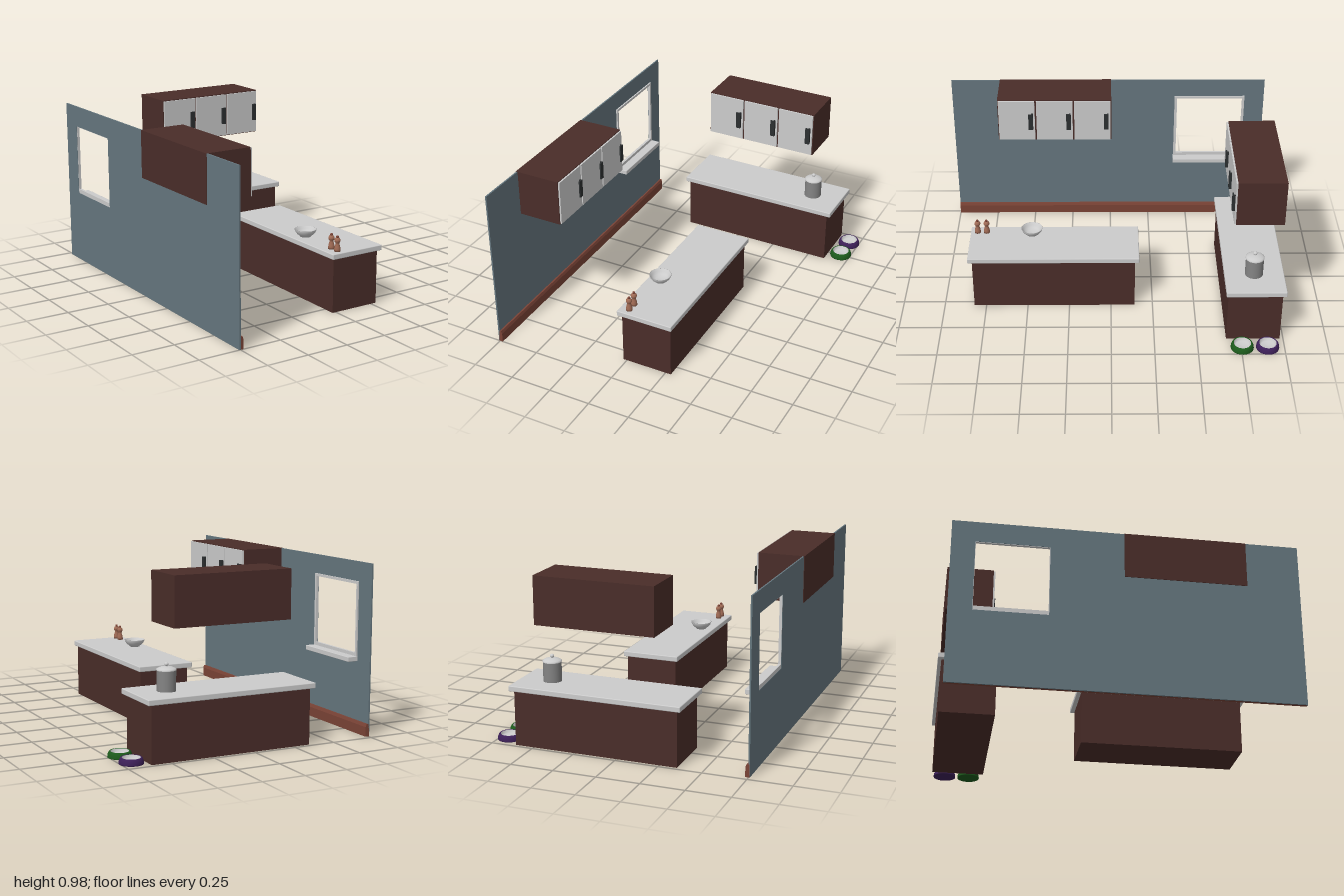
import * as THREE from 'three';
import { RoundedBoxGeometry } from 'three/addons/geometries/RoundedBoxGeometry.js';

const mat = (color, side = THREE.FrontSide) => new THREE.MeshStandardMaterial({ color, side });
const grey = mat(0xcccccc);
const wood = mat(0x4a2d29);
const wallPaint = mat(0x65767e);
const trim = mat(0x7a4336);
const dark = mat(0x2c2f30);
const steel = mat(0x848484);
const millWood = mat(0x9f6a54);

function add(parent, name, geometry, material, x = 0, y = 0, z = 0) {
  const mesh = new THREE.Mesh(geometry, material);
  mesh.name = name;
  mesh.position.set(x, y, z);
  parent.add(mesh);
  return mesh;
}

// Box given by its minimum and maximum corners, optionally with rounded edges
function box(parent, name, material, [x0, y0, z0], [x1, y1, z1], radius = 0) {
  const size = [x1 - x0, y1 - y0, z1 - z0];
  const geometry = radius ? new RoundedBoxGeometry(...size, 2, radius) : new THREE.BoxGeometry(...size);
  return add(parent, name, geometry, material, (x0 + x1) / 2, (y0 + y1) / 2, (z0 + z1) / 2);
}

function group(parent, name, x = 0, y = 0, z = 0) {
  const g = new THREE.Group();
  g.name = name;
  g.position.set(x, y, z);
  parent.add(g);
  return g;
}

const lathe = (points, segments = 40) =>
  new THREE.LatheGeometry(points.map(([r, y]) => new THREE.Vector2(r, y)), segments);

// Hanging cabinet, back at z = 0, three doors with offset handles
function wallCabinet(parent, name) {
  const g = group(parent, name);
  const w = 0.7, h = 0.276, d = 0.275, pitch = w / 3;
  box(g, 'cabinetBody', wood, [-w / 2, 0, 0], [w / 2, h, d]);
  for (let i = 0; i < 3; i++) {
    const x0 = -w / 2 + i * pitch, x1 = x0 + pitch;
    box(g, 'cabinetDoor', grey, [x0 + 0.005, 0.005, d], [x1 - 0.005, h - 0.005, d + 0.01]);
    const hx = x1 - 0.03;
    box(g, 'handleGrip', dark, [hx - 0.014, 0.083, d + 0.018], [hx + 0.014, 0.188, d + 0.026]);
    box(g, 'handlePost', dark, [hx + 0.004, 0.083, d + 0.01], [hx + 0.014, 0.188, d + 0.018]);
  }
  return g;
}

// Floor cabinet with an overhanging worktop
function counter(parent, name, [x0, x1, z0, z1], [tx0, tx1, tz0, tz1]) {
  const g = group(parent, name);
  box(g, 'counterBody', wood, [x0, 0, z0], [x1, 0.32, z1]);
  box(g, 'worktop', grey, [tx0, 0.318, tz0], [tx1, 0.35, tz1], 0.005);
}

// Wall with window opening, frame, sill and baseboard; local x runs toward the back
function buildWall(parent) {
  const g = group(parent, 'wallWithWindow', -0.757, 0, 0);
  g.rotation.y = Math.PI / 2;
  const rect = (P, a, b, c, d) => {
    const s = new P();
    s.moveTo(a, b); s.lineTo(c, b); s.lineTo(c, d); s.lineTo(a, d); s.closePath();
    return s;
  };
  const wall = rect(THREE.Shape, -1, 0, 0.972, 0.982);
  wall.holes.push(rect(THREE.Path, 0.422, 0.435, 0.838, 0.858));
  add(g, 'wall', new THREE.ExtrudeGeometry(wall, { depth: 0.009, bevelEnabled: false }), wallPaint);

  const frame = rect(THREE.Shape, 0.408, 0.43, 0.85, 0.87);
  frame.holes.push(rect(THREE.Path, 0.424, 0.46, 0.836, 0.855));
  add(g, 'windowFrame', new THREE.ExtrudeGeometry(frame, { depth: 0.016, bevelEnabled: false }), grey, 0, 0, 0.002);
  box(g, 'windowSill', grey, [0.405, 0.413, 0.003], [0.852, 0.441, 0.073], 0.003);

  // Chamfered baseboard profile swept along the wall
  const profile = new THREE.Shape([[0, 0], [-0.024, 0], [-0.024, 0.055], [-0.018, 0.072], [0, 0.072]]
    .map(([x, y]) => new THREE.Vector2(x, y)));
  const board = add(g, 'baseboard', new THREE.ExtrudeGeometry(profile, { depth: 1.972, bevelEnabled: false }), trim, -1, 0, 0.001);
  board.rotation.y = Math.PI / 2;
}

// Cooking pot with a domed lid and ball knob
function buildPot(parent) {
  const g = group(parent, 'pot', 0.448, 0.35, -0.825);
  add(g, 'potBody', new THREE.CylinderGeometry(0.052, 0.052, 0.115, 40), steel, 0, 0.0575, 0);
  add(g, 'potLid', lathe([[0.054, 0.112], [0.054, 0.118], [0.048, 0.122], [0.035, 0.128], [0.018, 0.132], [0, 0.133]]), grey);
  add(g, 'knobStem', new THREE.CylinderGeometry(0.005, 0.007, 0.012, 16), grey, 0, 0.135, 0);
  const knob = add(g, 'lidKnob', new THREE.SphereGeometry(0.012, 20, 14), grey, 0, 0.144, 0);
  knob.scale.y = 0.9;
}

// Open serving bowl
function buildServingBowl(parent) {
  add(parent, 'servingBowl', lathe([
    [0, 0], [0.03, 0], [0.033, 0.005], [0.048, 0.016], [0.058, 0.029], [0.064, 0.044],
    [0.061, 0.045], [0.054, 0.031], [0.043, 0.018], [0.028, 0.01], [0, 0.008],
  ]), mat(0xcccccc, THREE.DoubleSide), 0.037, 0.35, 0.475);
}

// Turned pepper mill
function buildMill(parent, z) {
  const g = group(parent, 'pepperMill', 0.016, 0.35, z);
  add(g, 'millBody', lathe([
    [0, 0], [0.018, 0], [0.018, 0.012], [0.016, 0.025], [0.011, 0.042], [0.012, 0.05],
    [0.017, 0.058], [0.018, 0.065], [0.014, 0.074], [0.008, 0.079], [0, 0.08],
  ], 24), millWood);
  add(g, 'millKnob', new THREE.SphereGeometry(0.008, 16, 12), trim, 0, 0.083, 0);
}

// Pet bowl: coloured sloping shell with a grey dish inside
function buildPetBowl(parent, name, color, z) {
  const g = group(parent, name, 0.69, 0, z);
  add(g, 'bowlShell', lathe([
    [0, 0], [0.066, 0], [0.067, 0.004], [0.065, 0.018], [0.06, 0.03], [0.055, 0.035], [0.05, 0.034],
  ]), mat(color, THREE.DoubleSide));
  add(g, 'bowlDish', lathe([[0.051, 0.034], [0.047, 0.022], [0.04, 0.013], [0, 0.011]]), mat(0xcccccc, THREE.DoubleSide));
}

export function createModel() {
  const model = new THREE.Group();
  model.name = 'kitchen';

  buildWall(model);
  wallCabinet(model, 'backCabinet').position.set(0.126, 0.707, -0.975);
  const side = wallCabinet(model, 'sideCabinet');
  side.position.set(-0.76, 0.707, 0.345);
  side.rotation.y = Math.PI / 2;

  counter(model, 'backCounter', [-0.352, 0.609, -0.98, -0.668], [-0.377, 0.635, -1, -0.655]);
  counter(model, 'island', [-0.022, 0.284, -0.142, 0.822], [-0.043, 0.3, -0.167, 0.847]);

  buildPot(model);
  buildServingBowl(model);
  for (const z of [0.75, 0.805]) buildMill(model, z);
  buildPetBowl(model, 'greenPetBowl', 0x1c5a1c, -0.755);
  buildPetBowl(model, 'purplePetBowl', 0x3d2058, -0.902);
  return model;
}
